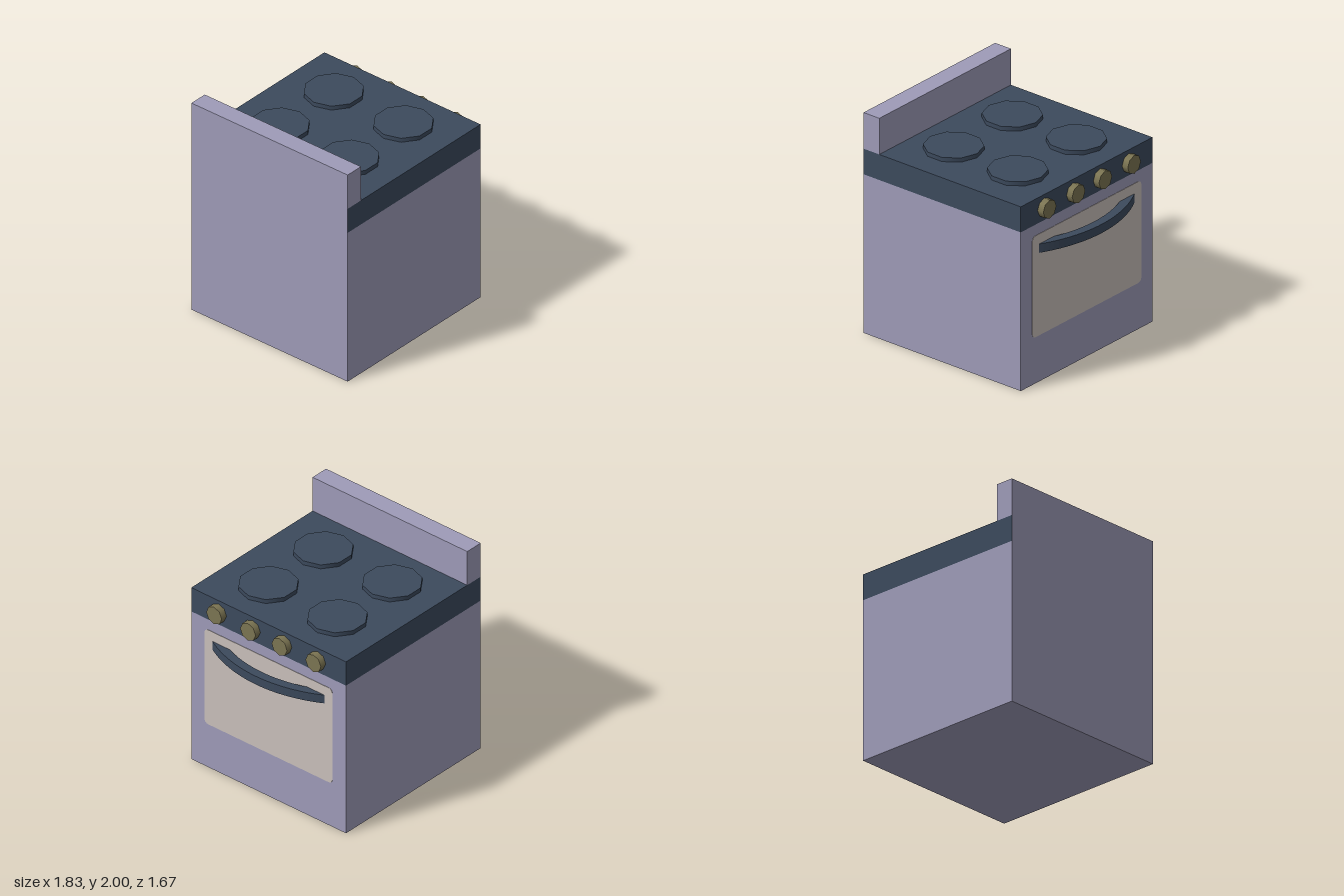
import * as THREE from 'three';

const material = (name, color) => {
  const m = new THREE.MeshStandardMaterial({ color });
  m.name = name;
  return m;
};

export function createModel() {
  const lilac = material('lilac enamel', 0x9e9bb8);
  const navy = material('dark blue', 0x3c4a5d);
  const cream = material('cream glass', 0xc9c0bb);
  const olive = material('olive', 0x7c7553);

  const oven = new THREE.Group();
  oven.name = 'oven';
  const add = (name, geometry, mat, x = 0, y = 0, z = 0) => {
    const mesh = new THREE.Mesh(geometry, mat);
    mesh.name = name;
    mesh.position.set(x, y, z);
    oven.add(mesh);
    return mesh;
  };

  const back = -0.917, front = 0.752, depth = front - back, width = 1.67;
  const midX = (front + back) / 2;
  const bandY = 1.44, topY = 1.672;

  // Cabinet, hob band (its rear face matches the cabinet) and splashback
  add('body', new THREE.BoxGeometry(depth, bandY, width), lilac, midX, bandY / 2, 0);
  add('hob', new THREE.BoxGeometry(depth, topY - bandY, width),
    [navy, lilac, navy, navy, navy, navy], midX, (topY + bandY) / 2, 0);
  add('splashback', new THREE.BoxGeometry(0.167, 2 - topY, width), lilac,
    back + 0.0835, (2 + topY) / 2, 0);

  // Four ten-sided hotplates
  const plate = new THREE.CylinderGeometry(0.25, 0.25, 0.038, 10, 1, false, Math.PI / 2);
  for (const x of [-0.35, 0.33])
    for (const z of [-0.375, 0.37]) add('hotplate', plate, navy, x, topY + 0.019, z);

  // Four eight-sided knobs facing forward
  const knob = new THREE.CylinderGeometry(0.083, 0.083, 0.06, 8).rotateZ(-Math.PI / 2);
  for (const z of [0.538, 0.172, -0.168, -0.533]) add('knob', knob, olive, front + 0.03, 1.557, z);

  // Door window: thin plate with rounded corners
  const w = 0.69, h = 0.46, r = 0.04;
  const pane = new THREE.Shape();
  pane.absarc(w - r, h - r, r, 0, Math.PI / 2);
  pane.absarc(-w + r, h - r, r, Math.PI / 2, Math.PI);
  pane.absarc(-w + r, -h + r, r, Math.PI, Math.PI * 1.5);
  pane.absarc(w - r, -h + r, r, Math.PI * 1.5, Math.PI * 2);
  const paneGeo = new THREE.ExtrudeGeometry(pane, { depth: 0.003, bevelEnabled: false, curveSegments: 5 });
  add('window', paneGeo.rotateY(Math.PI / 2), cream, front, 0.88, 0);

  // Bowed door handle: concentric arcs cut off at the door face
  const outer = 1.243, inner = 1.163, centre = 0.912 - outer;
  const a = Math.acos((front - centre) / outer), b = Math.acos((front - centre) / inner);
  const bow = new THREE.Shape();
  bow.absarc(centre, 0, outer, -a, a, false);
  bow.absarc(centre, 0, inner, b, -b, true);
  const bowGeo = new THREE.ExtrudeGeometry(bow, { depth: 0.08, bevelEnabled: false, curveSegments: 14 });
  add('handle', bowGeo.rotateX(-Math.PI / 2), navy, 0, 1.169, 0);

  return oven;
}
